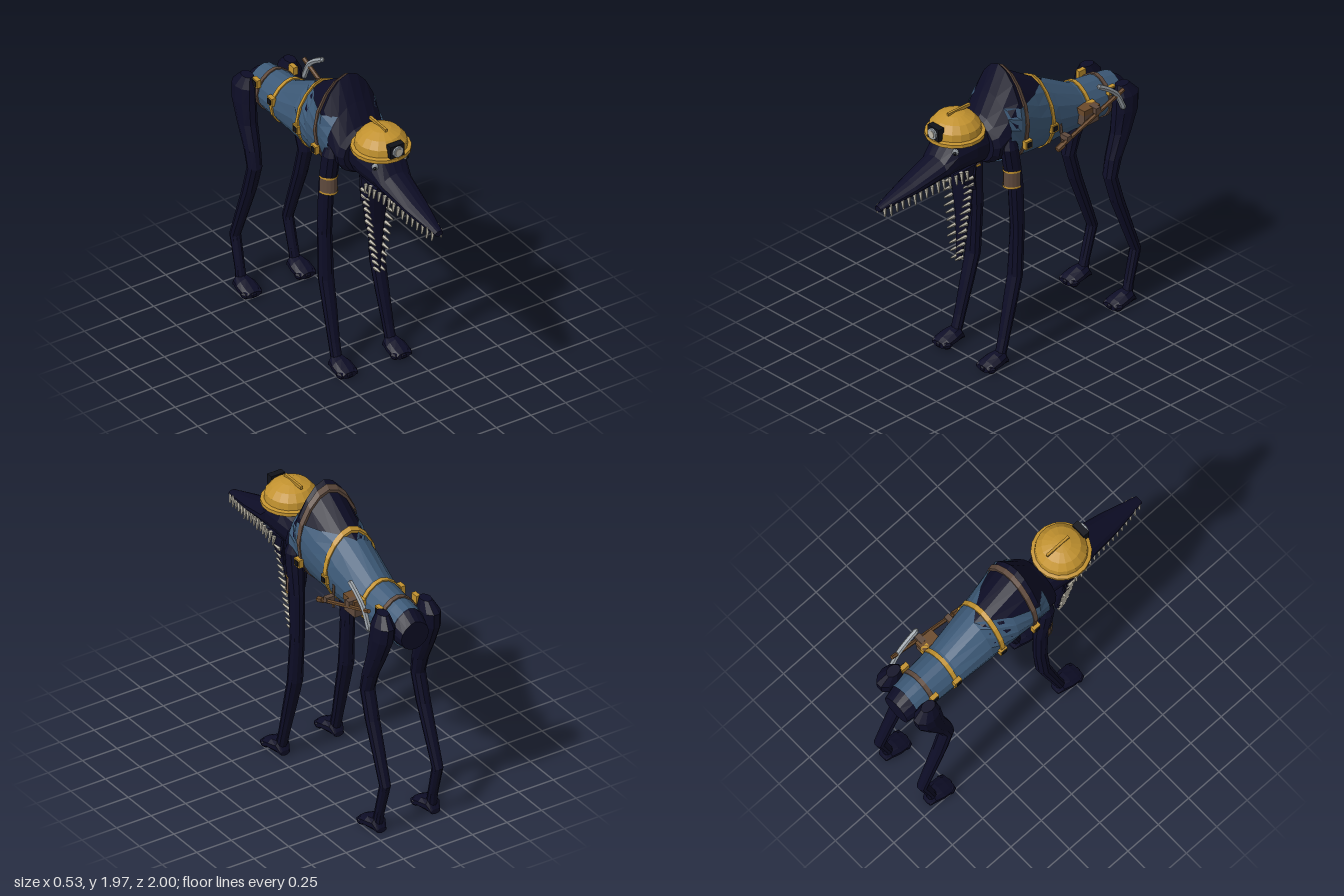
import * as THREE from 'three';

const mat = (name, color, side = THREE.FrontSide) => {
  const m = new THREE.MeshStandardMaterial({ color, side, flatShading: true });
  m.name = name;
  return m;
};
const V = (x, y, z) => new THREE.Vector3(x, y, z);

// Skins a list of point rings; optional fan caps at both ends
function loft(rings, caps = true) {
  const pos = [], tri = (...p) => p.forEach(v => pos.push(v.x, v.y, v.z));
  const n = rings[0].length - 1;
  for (let i = 0; i < rings.length - 1; i++) {
    const a = rings[i], b = rings[i + 1];
    for (let j = 0; j < n; j++) {
      tri(a[j], a[j + 1], b[j + 1]);
      tri(a[j], b[j + 1], b[j]);
    }
  }
  if (caps) [rings[0], rings[rings.length - 1]].forEach((r, end) => {
    const c = V(0, 0, 0);
    for (let j = 0; j < n; j++) c.addScaledVector(r[j], 1 / n);
    for (let j = 0; j < n; j++) end ? tri(c, r[j], r[j + 1]) : tri(c, r[j + 1], r[j]);
  });
  const g = new THREE.BufferGeometry();
  g.setAttribute('position', new THREE.Float32BufferAttribute(pos, 3));
  g.computeVertexNormals();
  return g;
}

// Upright egg-shaped ring at depth z, optionally cut open above a height
function ringZ([z, lo, hi, w], { x = 0, n = 14, off = 0, cut = Infinity, egg = 0 } = {}) {
  const cy = (lo + hi) / 2, h = (hi - lo) / 2;
  const a0 = cut < hi ? Math.asin((cut - cy) / h) : Math.PI / 2;
  return Array.from({ length: n + 1 }, (_, j) => {
    const a = Math.PI - a0 + (Math.PI + 2 * a0) * j / n, s = Math.sin(a);
    return V(x + (w + off) * Math.cos(a) * (1 - egg * Math.max(0, s) ** 2), cy + (h + off) * s, z);
  });
}
// Level ring for limbs, which are listed from top to bottom
const ringY = ([x, y, z, rx, rz], n = 10) => Array.from({ length: n + 1 }, (_, j) => {
  const a = 2 * Math.PI * j / n;
  return V(x + rx * Math.cos(a), y, z + rz * Math.sin(a));
});

// Torso sections: z, bottom, top, half width
const TORSO = [
  [-1, 1.28, 1.47, 0.1], [-0.93, 1.27, 1.52, 0.115], [-0.85, 1.28, 1.535, 0.12],
  [-0.6, 1.285, 1.57, 0.135], [-0.29, 1.28, 1.75, 0.17], [-0.05, 1.3, 1.91, 0.2],
  [0, 1.31, 1.965, 0.2], [0.08, 1.33, 1.8, 0.195], [0.15, 1.345, 1.67, 0.18], [0.18, 1.36, 1.64, 0.15],
];
function sectionAt(z, table) {
  const i = Math.max(1, table.findIndex(s => s[0] >= z));
  const a = table[i - 1], b = table[i], t = (z - a[0]) / (b[0] - a[0]);
  return a.map((v, k) => v + (b[k] - v) * t);
}
const HEAD = [
  [0.1, 1.4, 1.62, 0.1], [0.2, 1.36, 1.64, 0.12], [0.3, 1.38, 1.66, 0.14], [0.45, 1.385, 1.64, 0.13],
  [0.53, 1.385, 1.53, 0.11], [0.75, 1.36, 1.45, 0.08], [1, 1.335, 1.37, 0.028],
];

export function createModel() {
  const model = new THREE.Group();
  const hide = mat('dark hide', 0x0d0d26), vestBlue = mat('vest blue', 0x3d5a78, THREE.DoubleSide);
  const gold = mat('helmet yellow', 0xc2922f, THREE.DoubleSide), leather = mat('leather brown', 0x5f4a3d, THREE.DoubleSide);
  const wood = mat('handle brown', 0x6b4a2b), steel = mat('steel', 0x9ba2a8);
  const ivory = mat('tooth ivory', 0xbdb8aa), black = mat('lamp black', 0x10121a);

  const add = (name, geo, m, x = 0, y = 0, z = 0, parent = model) => {
    const mesh = new THREE.Mesh(geo, m);
    mesh.name = name;
    mesh.position.set(x, y, z);
    parent.add(mesh);
    return mesh;
  };
  const box = (name, m, size, at) => add(name, new THREE.BoxGeometry(...size), m, ...at);
  const rod = (name, m, a, b, r) => {
    const mesh = add(name, new THREE.CylinderGeometry(r, r, a.distanceTo(b), 6), m);
    mesh.position.copy(a).lerp(b, 0.5);
    mesh.quaternion.setFromUnitVectors(V(0, 1, 0), b.clone().sub(a).normalize());
    return mesh;
  };

  // Torso and the vest, which stops below the hump
  const egg = 0.22;
  add('torso', loft(TORSO.map(s => ringZ(s, { egg, n: 16 }))), hide);
  const vestZ = [-0.93, -0.85, -0.6, -0.36, -0.29, -0.17, -0.05, 0, 0.08];
  add('vest', loft(vestZ.map(z => ringZ(sectionAt(z, TORSO), { egg, n: 16, off: 0.009, cut: 1.73 })), false), vestBlue);

  // Straps around the torso with a buckle on each side
  [[-0.81, leather, 1.5], [-0.63, gold, 1.47], [-0.29, gold, 1.47], [-0.045, leather, 1.47]].forEach(([z, m, by]) => {
    const w = 0.014;
    const rings = [[-w, 0], [-w, 0.018], [w, 0.018], [w, 0]].map(([d, off]) =>
      ringZ(sectionAt(z + d, TORSO), { egg, n: 16, off }));
    add('strap', loft(rings, false), m);
    const x = sectionAt(z, TORSO)[3];
    for (const s of [-1, 1]) {
      box('buckle', gold, [0.03, 0.055, 0.055], [s * (x + 0.01), by, z]);
      box('buckleCentre', black, [0.008, 0.034, 0.034], [s * (x + 0.026), by, z]);
    }
  });

  // Head with long upper snout
  add('head', loft(HEAD.map(s => ringZ(s))), hide);
  // Hanging lower jaw
  add('lowerJaw', loft([
    [0, 1.42, 0.29, 0.11, 0.05], [0, 1.36, 0.3, 0.115, 0.035], [0, 1.22, 0.3, 0.095, 0.03],
    [0, 1.05, 0.295, 0.068, 0.025], [0, 0.88, 0.31, 0.042, 0.02], [0, 0.72, 0.328, 0.018, 0.014],
  ].map(r => ringY(r))), hide);

  const upperTooth = new THREE.CylinderGeometry(0.014, 0.006, 0.06, 5);
  for (const s of [-1, 1]) {
    // Mouth corner flap
    const flap = new THREE.Shape([[-0.46, 1.41], [-0.28, 1.42], [-0.29, 1.24], [-0.33, 1.26]].map(p => new THREE.Vector2(...p)));
    const cheek = add('mouthCorner', new THREE.ExtrudeGeometry(flap, { depth: 0.02, bevelEnabled: false }), hide, s * 0.095 - 0.01);
    cheek.rotation.y = Math.PI / 2;

    // Teeth along both jaws
    for (let i = 0; i < 15; i++) {
      const z = 0.37 + i * 0.043, [, lo, , w] = sectionAt(z, HEAD);
      const t = add('upperTooth', upperTooth, ivory, s * w * 0.88, lo - 0.006, z);
      t.scale.y = i % 4 === 1 ? 1.3 : 1;
      t.rotation.z = s * 0.15;
    }
    for (let i = 0; i < 13; i++) {
      const y = 1.34 - i * 0.05;
      const t = add('lowerTooth', upperTooth, ivory, s * (0.108 - i * 0.0075), y, 0.345);
      t.rotation.x = -Math.PI / 2;
      t.scale.y = i % 4 === 1 ? 1.3 : 1;
    }

    // Eyes
    add('eye', new THREE.IcosahedronGeometry(0.021, 1), steel, s * 0.106, 1.575, 0.456);
    add('pupil', new THREE.IcosahedronGeometry(0.011, 1), black, s * 0.116, 1.575, 0.47);

    // Legs
    add('frontLeg', loft([
      [0.165, 1.55, 0.07, 0.03, 0.035], [0.17, 1.48, 0.07, 0.055, 0.06], [0.172, 1.35, 0.05, 0.055, 0.06],
      [0.178, 1.2, 0.025, 0.046, 0.052], [0.182, 0.9, 0.015, 0.046, 0.046], [0.185, 0.58, 0.035, 0.052, 0.044],
      [0.188, 0.4, 0.08, 0.047, 0.04], [0.193, 0.18, 0.135, 0.038, 0.034], [0.195, 0.05, 0.17, 0.036, 0.034],
    ].map(([x, ...r]) => ringY([s * x, ...r]))), hide);
    add('hindLeg', loft([
      [0.155, 1.53, -0.88, 0.035, 0.05], [0.165, 1.46, -0.9, 0.065, 0.095], [0.17, 1.36, -0.89, 0.068, 0.095],
      [0.175, 1.22, -0.85, 0.06, 0.072], [0.18, 1.06, -0.785, 0.052, 0.055], [0.183, 0.94, -0.755, 0.048, 0.046],
      [0.185, 0.75, -0.81, 0.046, 0.046], [0.19, 0.35, -0.958, 0.036, 0.036], [0.193, 0.13, -0.9, 0.033, 0.03],
      [0.195, 0.05, -0.885, 0.035, 0.034],
    ].map(([x, ...r]) => ringY([s * x, ...r]))), hide);

    // Feet with three toes
    for (const dz of [0, -1.055]) {
      add('foot', loft([
        [0.125, 0, 0.035, 0.035], [0.16, 0, 0.1, 0.052], [0.22, 0, 0.09, 0.068], [0.28, 0, 0.065, 0.068], [0.315, 0.005, 0.045, 0.05],
      ].map(([z, ...r]) => ringZ([z + dz, ...r], { x: s * 0.195, n: 10 }))), hide);
      for (const k of [-1, 0, 1]) {
        const toe = add('toe', new THREE.SphereGeometry(1, 6, 5), hide, s * 0.195 + k * 0.046, 0.025, 0.29 + dz - Math.abs(k) * 0.01);
        toe.scale.set(0.027, 0.025, 0.04);
      }
    }

    // Cuffs on the front of the forelegs
    const half = (r, h) => new THREE.CylinderGeometry(r, r, h, 8, 1, true, -Math.PI / 2, Math.PI);
    for (const [name, m, r, h, y] of [['cuff', leather, 0.057, 0.11, 1.27], ['cuffTrim', gold, 0.061, 0.014, 1.325], ['cuffTrim', gold, 0.061, 0.014, 1.215]])
      add(name, half(r, h), m, s * 0.175, y, 0.035).scale.z = 1.28;
  }

  // Helmet with ridge and lamp
  const dome = [[0.15, -0.015], [0.186, -0.015], [0.186, 0.008], [0.163, 0.014], [0.158, 0.06], [0.12, 0.105], [0.06, 0.13], [0, 0.14]];
  add('helmet', new THREE.LatheGeometry(dome.map(p => new THREE.Vector2(...p)), 18), gold, 0, 1.64, 0.36);
  box('helmetRidge', gold, [0.016, 0.02, 0.18], [0, 1.778, 0.33]);
  box('lampMount', black, [0.1, 0.085, 0.045], [0, 1.697, 0.52]);
  const ring = add('lampRim', new THREE.CylinderGeometry(0.037, 0.037, 0.02, 10), steel, 0, 1.697, 0.545);
  const lens = add('lampLens', new THREE.CylinderGeometry(0.024, 0.024, 0.008, 8), ivory, 0, 1.697, 0.556);
  ring.rotation.x = lens.rotation.x = Math.PI / 2;

  // Pickaxe slung on the left flank
  rod('pickHandle', wood, V(0.222, 1.34, -0.29), V(0.222, 1.535, -0.83), 0.014);
  rod('pickGrip', wood, V(0.222, 1.335, -0.28), V(0.222, 1.355, -0.33), 0.02);
  const curve = new THREE.CatmullRomCurve3([V(0.222, 1.635, -0.63), V(0.222, 1.59, -0.7), V(0.222, 1.52, -0.775), V(0.222, 1.41, -0.828)]);
  add('pickHead', new THREE.TubeGeometry(curve, 8, 0.018, 6), steel);
  for (const t of [curve.getPoint(0), curve.getPoint(1)]) add('pickTip', new THREE.IcosahedronGeometry(0.018), steel, t.x, t.y, t.z);
  box('pickLoop', leather, [0.06, 0.035, 0.035], [0.205, 1.382, -0.37]);
  box('pickLoop', leather, [0.06, 0.04, 0.04], [0.205, 1.48, -0.61]);
  rod('holsterStrap', leather, V(0.165, 1.46, -0.36), V(0.175, 1.31, -0.37), 0.01);

  // Belt pouch
  box('pouch', leather, [0.07, 0.1, 0.12], [0.167, 1.435, -0.585]);
  box('pouchFlap', wood, [0.078, 0.035, 0.13], [0.167, 1.48, -0.585]);
  return model;
}
